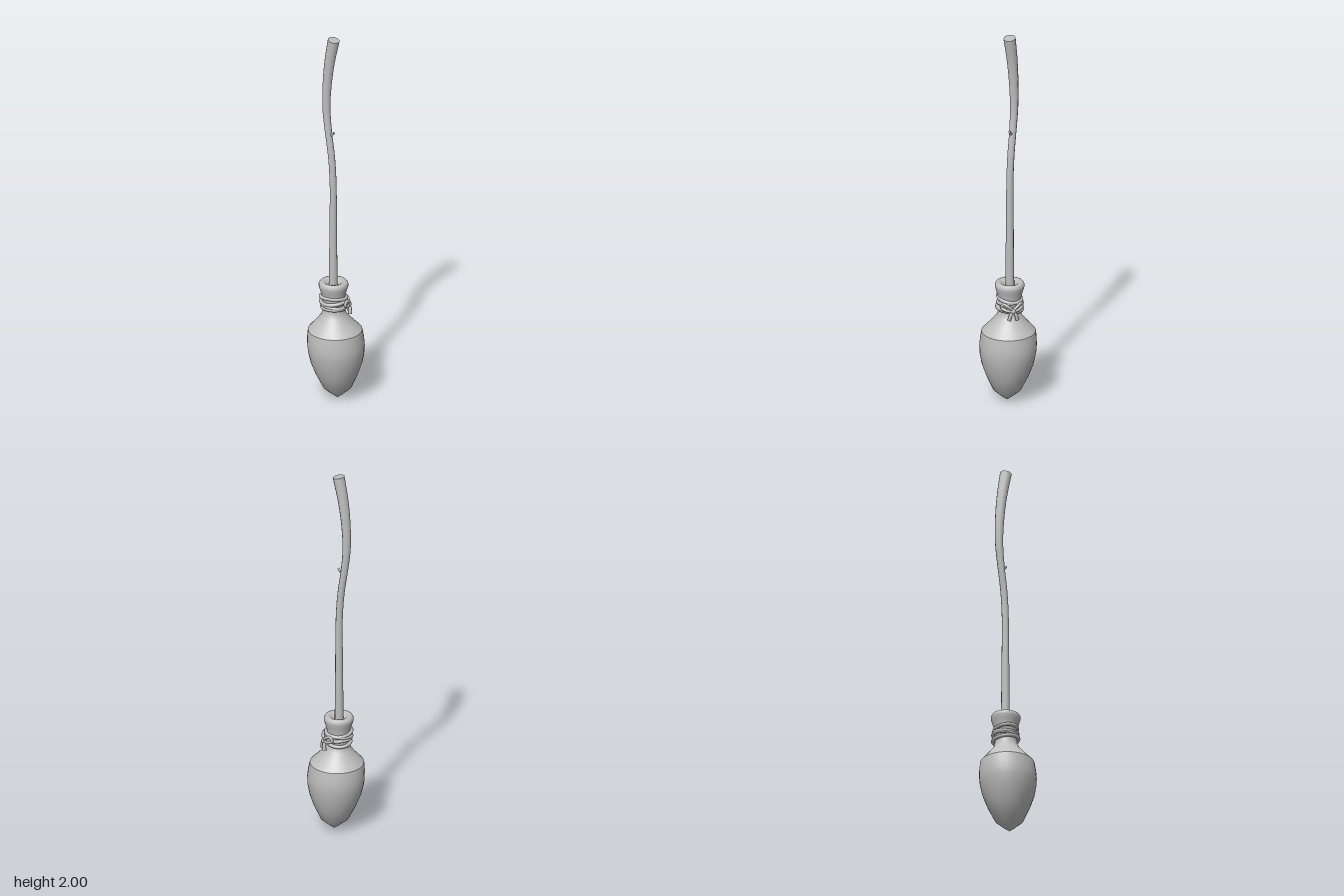
import * as THREE from 'three';

const V = (x, y, z = 0) => new THREE.Vector3(x, y, z);

export function createModel() {
  const model = new THREE.Group();
  model.name = 'broom';
  const grey = new THREE.MeshStandardMaterial({ color: 0xbfbfbf });
  grey.name = 'plain grey';

  const add = (name, geometry, parent = model) => {
    const mesh = new THREE.Mesh(geometry, grey);
    mesh.name = name;
    parent.add(mesh);
    return mesh;
  };

  // Tube whose radius follows radiusAt(t), with flat caps on open ends
  const taperedTube = (name, points, segs, sides, radiusAt, parent = model, closed = false) => {
    const curve = new THREE.CatmullRomCurve3(points, closed);
    const geo = new THREE.TubeGeometry(curve, segs, 1, sides, closed);
    const pos = geo.attributes.position;
    const v = new THREE.Vector3();
    for (let i = 0; i < pos.count; i++) {
      const t = Math.floor(i / (sides + 1)) / segs;
      const centre = curve.getPointAt(closed ? t % 1 : t);
      v.fromBufferAttribute(pos, i).sub(centre).multiplyScalar(radiusAt(t)).add(centre);
      pos.setXYZ(i, v.x, v.y, v.z);
    }
    add(name, geo, parent);
    if (closed) return;
    for (const t of [0, 1]) {
      const cap = add(name + 'End', new THREE.CircleGeometry(radiusAt(t), sides), parent);
      cap.position.copy(curve.getPointAt(t));
      cap.quaternion.setFromUnitVectors(V(0, 0, 1), curve.getTangentAt(t).multiplyScalar(t ? 1 : -1));
    }
  };

  // Lathe that leans slightly towards -x as it rises
  const leaningLathe = (name, profile) => {
    const geo = new THREE.LatheGeometry(profile.map(([r, y]) => new THREE.Vector2(r, y)), 32);
    const pos = geo.attributes.position;
    for (let i = 0; i < pos.count; i++) {
      const y = pos.getY(i);
      const lean = y < 0.3 ? 0.01 * (1 - y / 0.3) : -0.016 * Math.min(1, (y - 0.3) / 0.22);
      pos.setX(i, pos.getX(i) + lean);
    }
    return add(name, geo);
  };

  // Bristle bundle, shoulder and flared collar
  leaningLathe('bristles', [[0, 0.005], [0.03, 0.028], [0.072, 0.065], [0.108, 0.14],
    [0.132, 0.205], [0.144, 0.265], [0.146, 0.3], [0.144, 0.34], [0.138, 0.382]]);
  leaningLathe('shoulderAndCollar', [[0.138, 0.382], [0.1, 0.422], [0.066, 0.462], [0.056, 0.49],
    [0.055, 0.53], [0.06, 0.57], [0.069, 0.602], [0.075, 0.622], [0.075, 0.635],
    [0.069, 0.645], [0.058, 0.648], [0.045, 0.644], [0.034, 0.632], [0.015, 0.622]]);

  // Crooked handle, thicker towards the top
  const handleRadius = (t) => {
    const thin = 0.018;
    return t < 0.4 ? thin + 0.005 * (1 - t / 0.4) : thin + 0.013 * Math.pow(Math.max(0, (t - 0.6) / 0.4), 1.2);
  };
  taperedTube('handle', [V(-0.018, 0.6), V(-0.018, 0.9), V(-0.019, 1.2), V(-0.029, 1.34),
    V(-0.048, 1.47), V(-0.061, 1.6), V(-0.056, 1.74), V(-0.04, 1.87), V(-0.015, 1.994)],
  40, 10, handleRadius);

  // Broken twig on the handle
  taperedTube('twigStub', [V(-0.043, 1.45), V(-0.027, 1.462), V(-0.013, 1.476)],
    4, 6, (t) => 0.009 - 0.003 * t);

  // Rope turns, each tilted a little differently
  const turns = [[0.505, 0.007, 0.4], [0.524, -0.008, 1.6], [0.543, 0.009, 2.7], [0.56, 0.01, 0.2]];
  turns.forEach(([y, tilt, phase], n) => {
    const points = [];
    for (let i = 0; i < 20; i++) {
      const a = (i / 20) * Math.PI * 2;
      const r = 0.062 + 0.003 * Math.sin(2 * a + n);
      points.push(V(-0.016 + r * Math.cos(a), y + tilt * Math.sin(a + phase), r * Math.sin(a)));
    }
    taperedTube('ropeTurn', points, 48, 8, () => 0.0095, model, true);
  });

  // Bow knot facing the back left of the broom
  const bow = new THREE.Group();
  bow.name = 'ropeBow';
  bow.position.set(-0.014, 0.515, 0);
  bow.rotation.y = Math.atan2(0.7, -0.7);
  model.add(bow);
  const knot = add('knot', new THREE.SphereGeometry(0.014, 12, 8), bow);
  knot.position.set(0, 0, 0.077);
  for (const s of [-1, 1]) {
    taperedTube('bowLoop', [V(0, 0, 0.076), V(s * 0.022, 0.024, 0.075), V(s * 0.046, 0.034, 0.058),
      V(s * 0.054, 0.016, 0.05), V(s * 0.03, 0.002, 0.07)], 24, 8, () => 0.0075, bow, true);
    taperedTube('bowTail', [V(0, 0, 0.077), V(s * 0.013, -0.018, 0.081), V(s * 0.022, -0.046, 0.08)],
      10, 8, (t) => 0.0075 + 0.0025 * t, bow);
  }

  return model;
}
